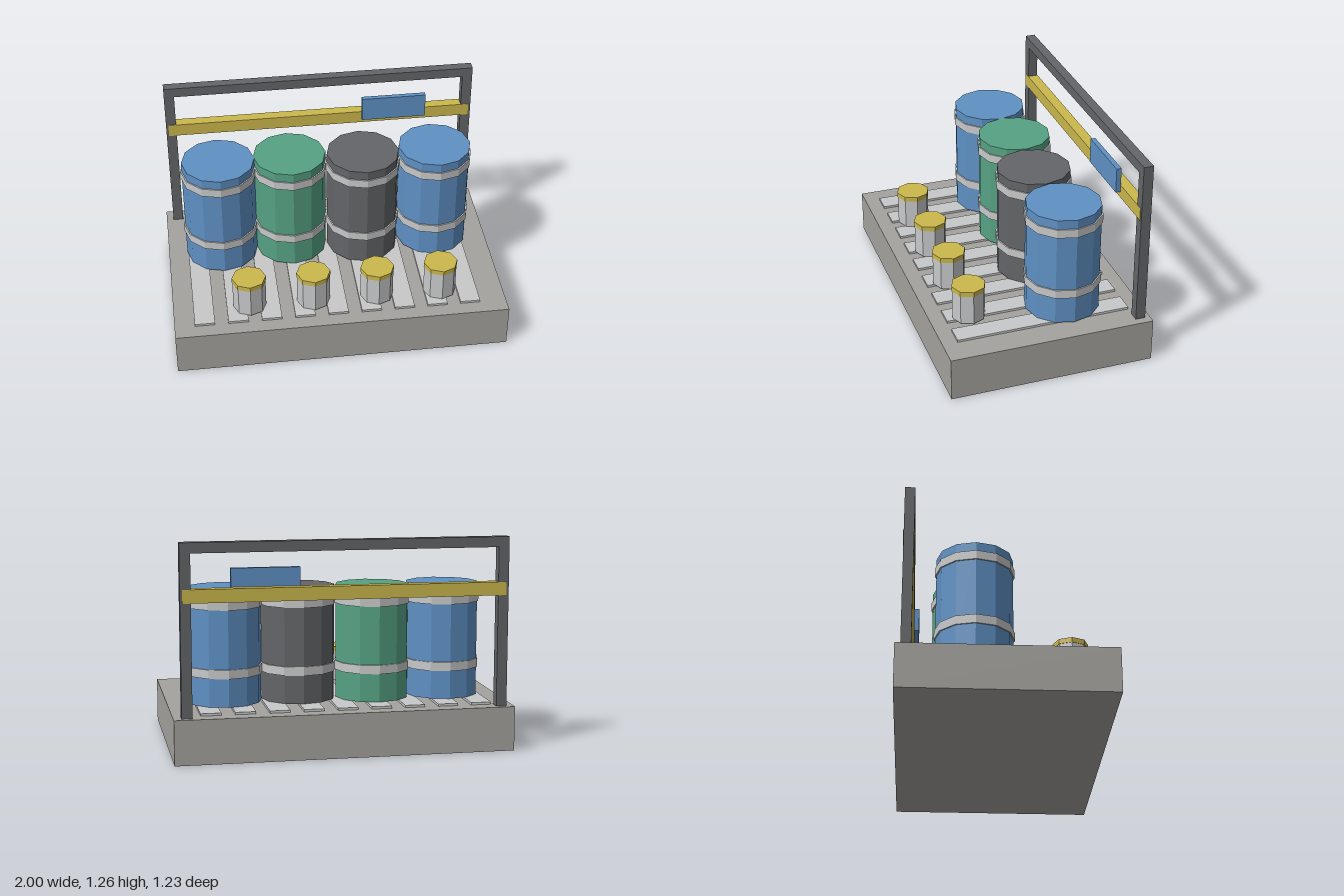
import * as THREE from 'three';

const mat = (name, color) => {
  const m = new THREE.MeshStandardMaterial({ color, flatShading: true });
  m.name = name;
  return m;
};

export function createModel() {
  const concrete = mat('concrete', 0xa5a39e);
  const lightMetal = mat('lightMetal', 0xc8c9ca);
  const darkMetal = mat('darkMetal', 0x636568);
  const blue = mat('blue', 0x5f91c4);
  const green = mat('green', 0x56a283);
  const yellow = mat('yellow', 0xcbb84c);

  const model = new THREE.Group();
  model.name = 'drumRack';

  const add = (parent, name, geometry, material, x, y, z) => {
    const mesh = new THREE.Mesh(geometry, material);
    mesh.name = name;
    mesh.position.set(x, y, z);
    parent.add(mesh);
  };
  // Box given by its extents on each axis
  const box = (parent, name, material, [x0, x1], [y0, y1], [z0, z1]) =>
    add(parent, name, new THREE.BoxGeometry(x1 - x0, y1 - y0, z1 - z0), material,
      (x0 + x1) / 2, (y0 + y1) / 2, (z0 + z1) / 2);
  // Upright prism between two heights
  const prism = (parent, name, material, r, sides, y0, y1) =>
    add(parent, name, new THREE.CylinderGeometry(r, r, y1 - y0, sides), material, 0, (y0 + y1) / 2, 0);
  const group = (name, x, z) => {
    const g = new THREE.Group();
    g.name = name;
    g.position.set(x, 0, z);
    model.add(g);
    return g;
  };

  const baseTop = 0.264, deckTop = 0.278;

  // Plinth with deck slats
  box(model, 'base', concrete, [-1, 1], [0, baseTop], [-0.613, 0.613]);
  for (let i = 0; i < 9; i++) {
    const x = -0.82 + i * 0.2;
    box(model, 'deckSlat', lightMetal, [x - 0.06, x + 0.06], [baseTop, deckTop], [-0.523, 0.523]);
  }

  // Banded drums
  const drums = [[-0.665, -0.172, blue], [-0.23, -0.187, green], [0.215, -0.153, darkMetal], [0.66, -0.172, blue]];
  for (const [x, z, material] of drums) {
    const drum = group('drum', x, z);
    prism(drum, 'drumBody', material, 0.221, 12, deckTop, 0.957);
    for (const y of [0.447, 0.848]) prism(drum, 'drumBand', lightMetal, 0.229, 12, y, y + 0.053);
  }

  // Small capped canisters along the front
  for (let i = 0; i < 4; i++) {
    const canister = group('canister', -0.541 + i * 0.385, 0.385);
    prism(canister, 'canisterBody', lightMetal, 0.099, 8, deckTop, 0.465);
    prism(canister, 'canisterCap', yellow, 0.102, 8, 0.463, 0.493);
  }

  // Rear frame, rail and sign plate
  const depth = [-0.582, -0.523];
  box(model, 'framePost', darkMetal, [-0.957, -0.895], [baseTop, 1.203], depth);
  box(model, 'framePost', darkMetal, [0.891, 0.953], [baseTop, 1.203], depth);
  box(model, 'frameTopBeam', darkMetal, [-0.957, 0.953], [1.203, 1.263], depth);
  box(model, 'guardRail', yellow, [-0.943, 0.939], [0.922, 1.0], [-0.585, -0.52]);
  box(model, 'signPlate', blue, [0.26, 0.658], [0.956, 1.108], [-0.522, -0.492]);

  return model;
}
